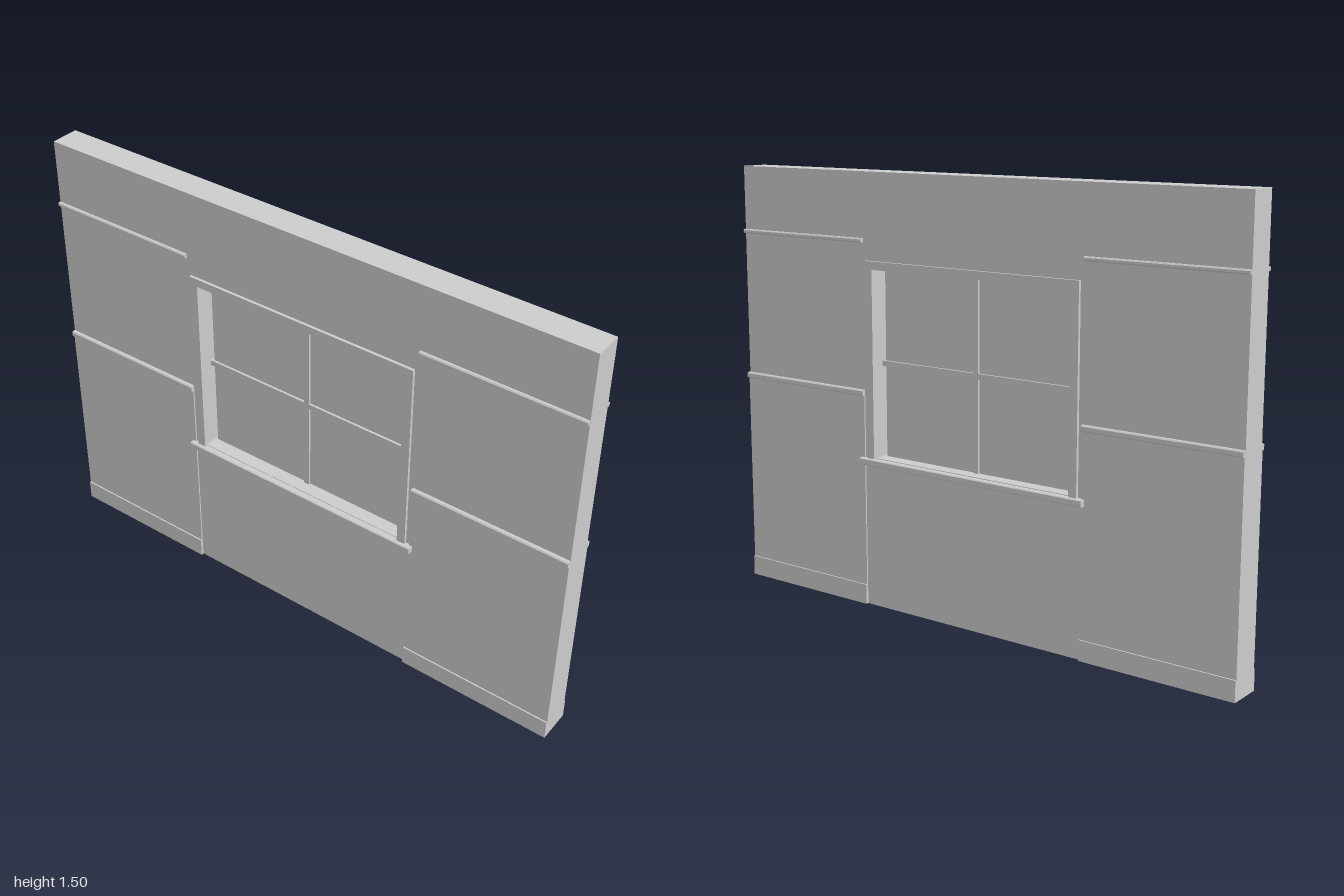
import * as THREE from 'three';

const material = new THREE.MeshStandardMaterial({ color: 0xcccccc, flatShading: true });

export function createModel() {
  const model = new THREE.Group();
  model.name = 'windowWall';

  const add = (name, geometry) => {
    const mesh = new THREE.Mesh(geometry, material);
    mesh.name = name;
    model.add(mesh);
    return mesh;
  };

  // Box given by its lower and upper bounds on each axis
  const box = (name, x0, x1, y0, y1, z0, z1) => {
    const mesh = add(name, new THREE.BoxGeometry(x1 - x0, y1 - y0, z1 - z0));
    mesh.position.set((x0 + x1) / 2, (y0 + y1) / 2, (z0 + z1) / 2);
  };

  // Horizontal moulding with chamfered outer edges, on either face of the wall
  const rail = (name, x0, x1, y0, y1, depth, face, chamfer) => {
    const inner = 0.045;
    const profile = [
      [inner, y0], [depth - chamfer, y0], [depth, y0 + chamfer],
      [depth, y1 - chamfer], [depth - chamfer, y1], [inner, y1],
    ].map(([z, y]) => new THREE.Vector2(-z * face, y));
    const geometry = new THREE.ExtrudeGeometry(new THREE.Shape(profile), { depth: x1 - x0, bevelEnabled: false });
    geometry.rotateY(Math.PI / 2); // profile -x becomes +z, extrusion runs along +x
    geometry.translate(x0, 0, 0);
    add(name, geometry);
  };

  const W = 0.05; // half the wall thickness
  const open = { x: 0.4, y0: 0.53, y1: 1.18 };

  // Wall sections around the opening
  box('leftWall', open.x, 1, 0, 1.5, -W, W);
  box('rightWall', -1, -open.x, 0, 1.5, -W, W);
  box('wallBelowWindow', -open.x, open.x, 0, open.y0, -W, W);
  box('wallAboveWindow', -open.x, open.x, open.y1, 1.5, -W, W);

  // Trim repeated on both faces of the wall
  for (const face of [1, -1]) {
    const slab = (name, x0, x1, y0, y1, depth) =>
      box(name, x0, x1, y0, y1, Math.min(face * 0.045, face * depth), Math.max(face * 0.045, face * depth));

    for (const side of [1, -1]) {
      const label = side > 0 ? 'left' : 'right';
      const span = (a, b) => (side > 0 ? [a, b] : [-b, -a]);
      const [x0, x1] = span(0.445, 1);
      slab(label + 'Wainscot', x0, x1, 0, 0.745, 0.055);
      slab(label + 'Baseboard', x0, x1, 0, 0.07, 0.06);
      rail(label + 'ChairRail', x0, x1, 0.742, 0.763, 0.064, face, 0.004);
      rail(label + 'PictureRail', x0, x1, 1.264, 1.279, 0.061, face, 0.004);
      slab(label + 'Casing', ...span(open.x, 0.43), open.y0 - 0.005, 1.205, 0.06);
    }
    slab('headCasing', -open.x, open.x, open.y1 - 0.003, 1.205, 0.06);
    rail('windowSill', -0.456, 0.456, 0.505, 0.528, 0.073, face, 0.003);
  }

  // Pane, with a fine gap at the sides, and the crossing glazing bars
  box('pane', -0.39, 0.39, open.y0, 1.174, -0.002, 0.002);
  box('verticalBar', -0.01, 0.01, open.y0, open.y1, -0.01, 0.01);
  box('horizontalBar', -open.x, open.x, 0.845, 0.864, -0.01, 0.01);

  return model;
}
